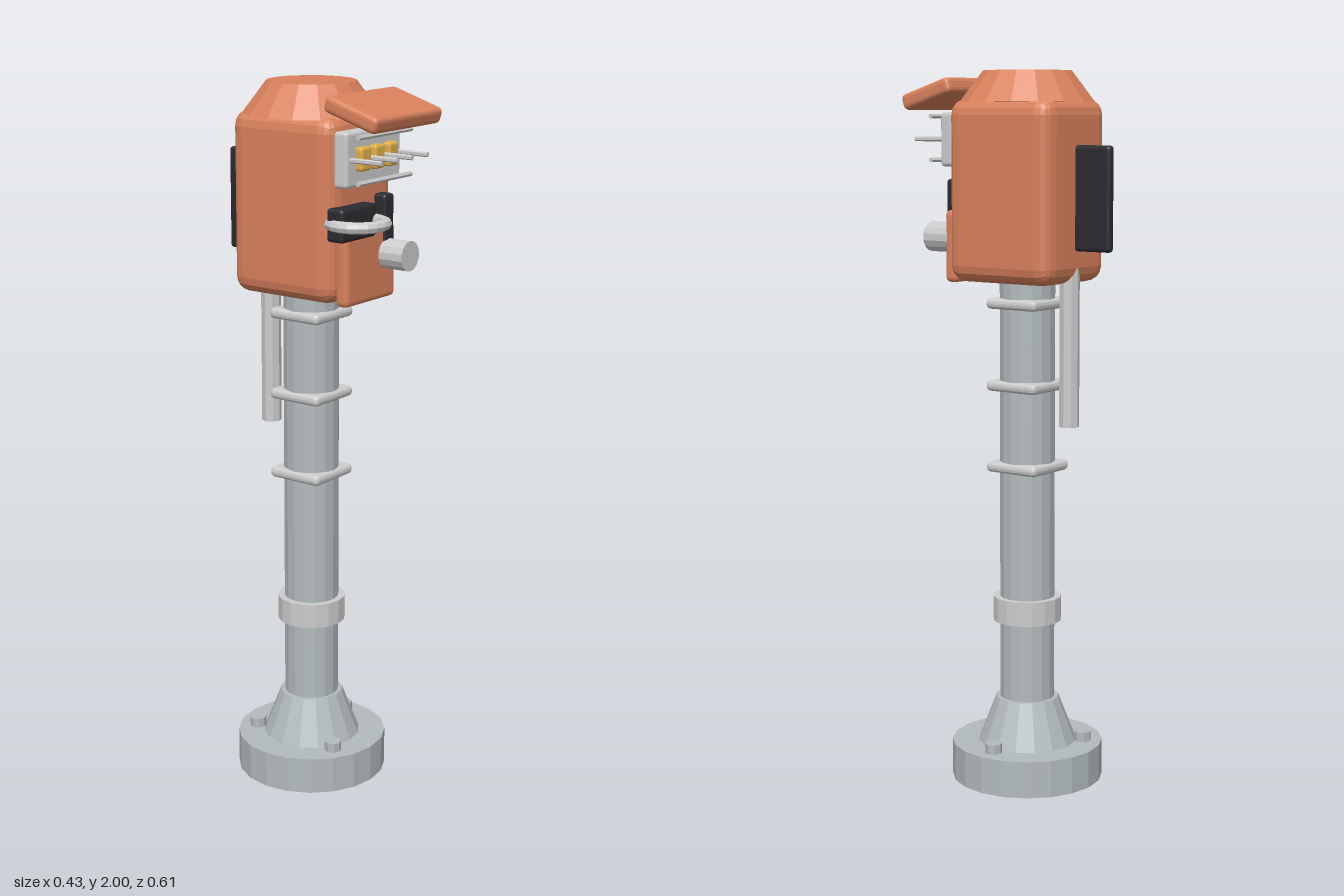
import * as THREE from 'three';
import { RoundedBoxGeometry } from 'three/addons/geometries/RoundedBoxGeometry.js';

const paint = (color) => new THREE.MeshStandardMaterial({ color, flatShading: true });

export function createModel() {
  const model = new THREE.Group();
  const orange = paint(0xd9815c), steel = paint(0xb3bbbd), light = paint(0xcccccc);
  const dark = paint(0x2b2b30), amber = paint(0xe0b04a), green = paint(0x3fae74);
  const axisZ = -0.025; // centre line of the post

  const add = (name, geometry, material, x, y, z) => {
    const mesh = new THREE.Mesh(geometry, material);
    mesh.name = name;
    mesh.position.set(x, y, z);
    model.add(mesh);
    return mesh;
  };
  const box = (name, material, [w, h, d], [x, y, z], r = 0.01) =>
    add(name, new RoundedBoxGeometry(w, h, d, 2, r), material, x, y, z);
  // upright round part spanning y0 to y1
  const post = (name, material, rTop, rBottom, y0, y1, sides = 16, x = 0, z = axisZ) =>
    add(name, new THREE.CylinderGeometry(rTop, rBottom, y1 - y0, sides), material, x, (y0 + y1) / 2, z);

  // base and post
  post('base', steel, 0.215, 0.215, 0, 0.105, 20);
  post('baseCone', steel, 0.09, 0.14, 0.105, 0.235);
  post('pole', steel, 0.078, 0.078, 0.1, 1.45);
  post('collar', light, 0.097, 0.097, 0.46, 0.53);
  for (let i = 0; i < 3; i++) {
    const a = (i * Math.PI * 2) / 3;
    post('baseBolt', steel, 0.024, 0.024, 0.1, 0.132, 8,
      0.16 * Math.cos(a), axisZ + 0.16 * Math.sin(a));
  }
  for (const y of [0.905, 1.135, 1.365]) {
    box('poleClamp', light, [0.17, 0.03, 0.17], [0, y, axisZ], 0.013);
  }

  // housing and cap
  box('housing', orange, [0.29, 0.5, 0.345], [0, 1.675, -0.022], 0.045);
  post('cap', orange, 0.123, 0.188, 1.915, 2.0);
  box('hood', orange, [0.305, 0.045, 0.174], [0, 1.938, 0.215], 0.014).rotation.x = 0.3;
  box('frontDoor', orange, [0.225, 0.2, 0.04], [0, 1.52, 0.16], 0.014);

  // display with its guard bars
  box('displayFrame', light, [0.245, 0.148, 0.045], [0, 1.814, 0.163]);
  for (const x of [-0.062, 0, 0.062]) {
    box('displayCell', amber, [0.044, 0.064, 0.03], [x, 1.815, 0.192], 0.008);
  }
  for (const y of [1.757, 1.877]) {
    add('guardBar', new THREE.CylinderGeometry(0.007, 0.007, 0.24, 6), light, 0, y, 0.22)
      .rotation.z = Math.PI / 2;
  }
  for (const x of [-0.105, -0.033, 0.033, 0.105]) {
    add('guardRod', new THREE.CylinderGeometry(0.007, 0.007, 0.12, 6), light, x, 1.815, 0.225)
      .rotation.x = Math.PI / 2;
  }
  add('signalLamp', new THREE.SphereGeometry(0.025, 10, 8), green, 0, 1.913, 0.182);

  // cup ring, lever and knob
  box('ringMount', dark, [0.155, 0.09, 0.055], [-0.067, 1.645, 0.162]);
  add('holderRing', new THREE.TorusGeometry(0.076, 0.016, 8, 20), light, -0.07, 1.645, 0.183)
    .rotation.x = Math.PI / 2;
  box('lever', dark, [0.044, 0.155, 0.045], [0.072, 1.628, 0.165]);
  add('knob', new THREE.CylinderGeometry(0.042, 0.042, 0.085, 14), light, 0.072, 1.543, 0.213)
    .rotation.x = Math.PI / 2;

  // rear fin and cable pipe
  box('rearFin', dark, [0.026, 0.285, 0.12], [0, 1.658, -0.245]);
  post('cablePipe', light, 0.028, 0.028, 1.03, 1.47, 8, 0, -0.168);

  return model;
}
